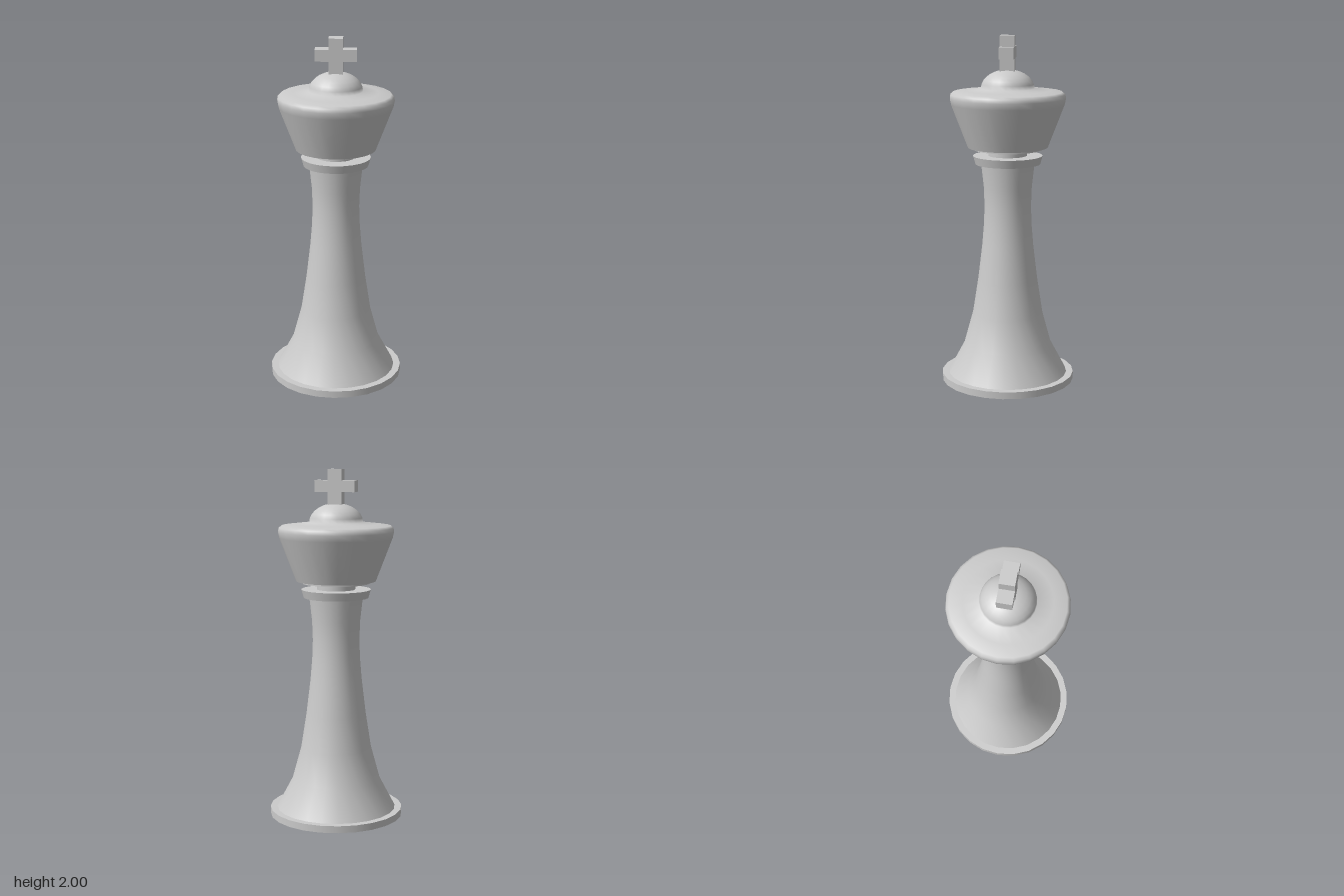
import * as THREE from 'three';

const SEGMENTS = 24;
const material = new THREE.MeshStandardMaterial({ color: 0xcccccc });

// Turned part: each profile [radius, y] is smooth in itself; edges between profiles stay sharp
function turned(name, ...profiles) {
  const group = new THREE.Group();
  group.name = name;
  profiles.forEach((profile, i) => {
    const points = profile.map(([r, y]) => new THREE.Vector2(r, y));
    const mesh = new THREE.Mesh(new THREE.LatheGeometry(points, SEGMENTS), material);
    mesh.name = `${name}Surface${i + 1}`;
    group.add(mesh);
  });
  return group;
}

// Stepped disc with sharp edges, optionally tapered
const disc = (name, rBottom, rTop, y0, y1) => turned(name,
  [[0, y0], [rBottom, y0]], [[rBottom, y0], [rTop, y1]], [[rTop, y1], [0, y1]]);

export function createModel() {
  const model = new THREE.Group();
  model.name = 'chessKing';

  // Foot and waisted column
  model.add(disc('base', 0.385, 0.385, 0, 0.04));
  model.add(turned('column', [
    [0.345, 0.04], [0.255, 0.21], [0.203, 0.4], [0.172, 0.6], [0.148, 0.8],
    [0.138, 0.92], [0.134, 1.03], [0.138, 1.14], [0.153, 1.275],
  ]));

  // Collar, narrow neck and ring under the head
  model.add(disc('collar', 0.186, 0.199, 1.275, 1.322));
  model.add(turned('neck', [[0.11, 1.322], [0.11, 1.357]]));
  model.add(disc('headRing', 0.193, 0.193, 1.357, 1.37));

  // Flared head with a rounded rim, running into the dome
  const dome = [];
  for (let i = 0; i <= 7; i++) {
    const a = (i / 7) * Math.PI / 2;
    dome.push([0.152 * Math.cos(a), 1.703 + 0.107 * Math.sin(a)]);
  }
  model.add(turned('head',
    [[0, 1.37], [0.228, 1.37]],
    [[0.228, 1.37], [0.322, 1.615], [0.329, 1.65], [0.325, 1.672], [0.31, 1.685], [0.24, 1.693], ...dome],
  ));

  // Cross finial cut from one plus-shaped outline
  const w = 0.04, arm = 0.116, y0 = 1.79, low = 1.873, high = 1.938, top = 2;
  const outline = [[-w, y0], [w, y0], [w, low], [arm, low], [arm, high], [w, high],
    [w, top], [-w, top], [-w, high], [-arm, high], [-arm, low], [-w, low]];
  const shape = new THREE.Shape(outline.map(([x, y]) => new THREE.Vector2(x, y)));
  const depth = 0.084;
  const geometry = new THREE.ExtrudeGeometry(shape, { depth, bevelEnabled: false });
  geometry.translate(0, 0, -depth / 2);
  const cross = new THREE.Mesh(geometry, material);
  cross.name = 'cross';
  model.add(cross);

  return model;
}
